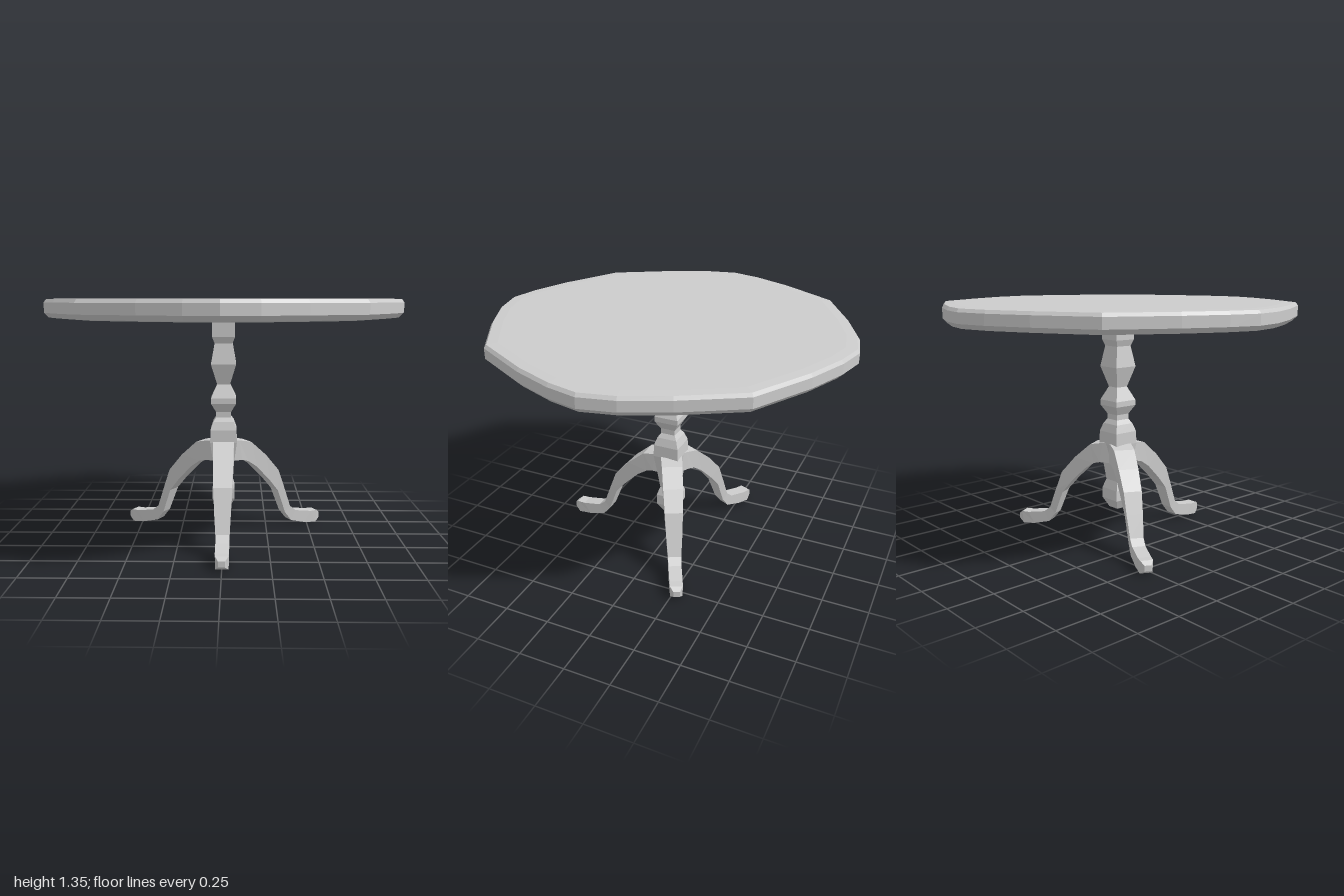
import * as THREE from 'three';

// Skins a list of closed rings (counterclockwise about the direction of travel) and caps both ends.
function loft(rings) {
  const pos = [];
  const tri = (...corners) => corners.forEach((c) => pos.push(...c));
  const n = rings[0].length;
  for (let r = 0; r < rings.length - 1; r++) {
    const a = rings[r], b = rings[r + 1];
    for (let i = 0; i < n; i++) {
      const j = (i + 1) % n;
      tri(a[i], a[j], b[j]);
      tri(a[i], b[j], b[i]);
    }
  }
  const first = rings[0], last = rings[rings.length - 1];
  for (let i = 1; i < n - 1; i++) {
    tri(first[0], first[i + 1], first[i]);
    tri(last[0], last[i], last[i + 1]);
  }
  const geo = new THREE.BufferGeometry();
  geo.setAttribute('position', new THREE.Float32BufferAttribute(pos, 3));
  geo.computeVertexNormals();
  return geo;
}

export function createModel() {
  const table = new THREE.Group();
  table.name = 'pedestalTable';
  const grey = new THREE.MeshStandardMaterial({ color: 0xcccccc });
  grey.name = 'plainGrey';
  const add = (name, geo) => {
    const mesh = new THREE.Mesh(geo, grey);
    mesh.name = name;
    table.add(mesh);
    return mesh;
  };

  // Tabletop: one quarter of the outline, turned four times, with rounded rims
  let quarter = [[0, 1], [0.18, 0.96], [0.4, 0.86], [0.695, 0.69], [0.87, 0.38], [0.96, 0.165]];
  const outline = [];
  for (let q = 0; q < 4; q++) {
    outline.push(...quarter);
    quarter = quarter.map(([x, z]) => [z, -x]);
  }
  const rims = [[0.9, 1.244], [0.975, 1.25], [1, 1.275], [1, 1.33], [0.987, 1.347], [0.93, 1.35]];
  add('tabletop', loft(rims.map(([s, y]) => outline.map(([x, z]) => [x * s, y, z * s]))));

  // Square turned column: half width and height, bottom to top
  const column = [
    [0.035, 0.17], [0.063, 0.225], [0.063, 0.285], [0.047, 0.335], [0.06, 0.44],
    [0.075, 0.55], [0.073, 0.62], [0.058, 0.665], [0.042, 0.69], [0.042, 0.72],
    [0.07, 0.77], [0.07, 0.8], [0.036, 0.875], [0.07, 0.99], [0.05, 1.105],
    [0.063, 1.14], [0.063, 1.25],
  ];
  add('column', loft(column.map(([h, y]) => [[h, y, h], [h, y, -h], [-h, y, -h], [-h, y, h]])));

  // Curved leg: top z, top y, bottom z, bottom y, half width at each station
  const stations = [
    [0.03, 0.555, 0.03, 0.44, 0.06],
    [0.07, 0.555, 0.09, 0.44, 0.06],
    [0.15, 0.54, 0.13, 0.43, 0.058],
    [0.25, 0.455, 0.19, 0.39, 0.055],
    [0.34, 0.355, 0.28, 0.3, 0.05],
    [0.385, 0.24, 0.34, 0.23, 0.045],
    [0.43, 0.125, 0.395, 0.09, 0.037],
    [0.47, 0.093, 0.44, 0.035, 0.036],
    [0.58, 0.075, 0.54, 0.01, 0.036],
    [0.625, 0.075, 0.615, 0.003, 0.034],
    [0.65, 0.057, 0.65, 0.025, 0.018],
  ];
  const legGeo = loft(stations.map(([tz, ty, bz, by, w]) =>
    [[w, ty, tz], [-w, ty, tz], [-w, by, bz], [w, by, bz]]));
  add('frontLeg', legGeo);
  for (const [name, side] of [['leftLeg', 1], ['rightLeg', -1]]) {
    const leg = add(name, legGeo);
    leg.rotation.y = side * THREE.MathUtils.degToRad(117);
    leg.scale.z = 0.985;
  }
  return table;
}
